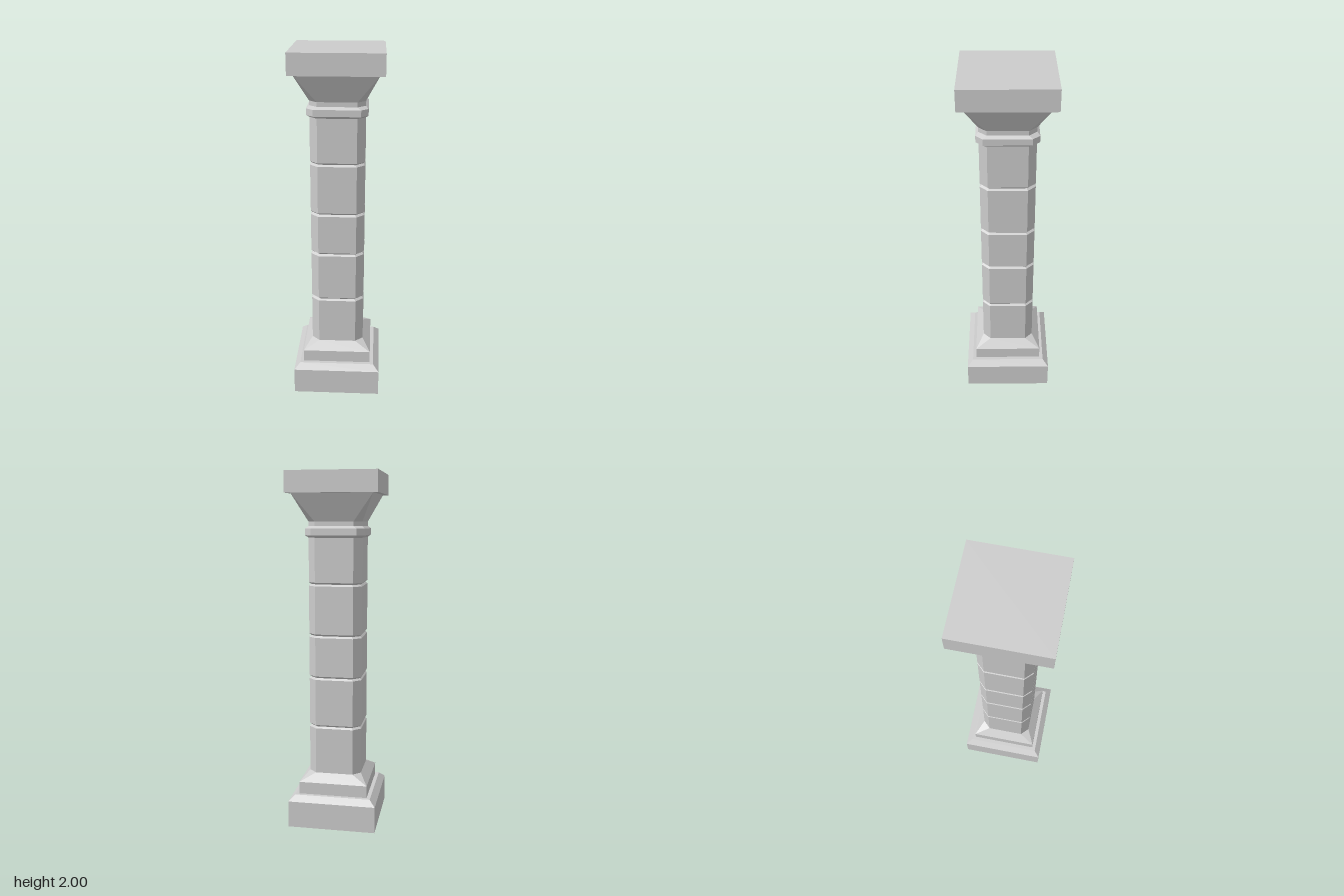
import * as THREE from 'three';

const stone = new THREE.MeshStandardMaterial({ color: 0xcccccc });
stone.name = 'palestone';

// Eight-point ring: a square of half-width h with its corners cut back by c
function ring([y, h, c]) {
  const points = [];
  let corner = [[h, h - c], [h - c, h]];
  for (let q = 0; q < 4; q++) {
    for (const [x, z] of corner) points.push(new THREE.Vector3(x, y, z));
    corner = corner.map(([x, z]) => [-z, x]);
  }
  return points;
}

// Skins a stack of [y, halfWidth, cornerCut] sections with flat faces
function loft(name, sections) {
  const pos = [];
  const tri = (a, b, c) => {
    const area = b.clone().sub(a).cross(c.clone().sub(a)).length();
    if (area > 1e-9) for (const p of [a, b, c]) pos.push(p.x, p.y, p.z);
  };
  const rings = sections.map(ring);
  for (let r = 0; r + 1 < rings.length; r++) {
    const a = rings[r], b = rings[r + 1];
    for (let i = 0; i < 8; i++) {
      const j = (i + 1) % 8;
      tri(a[i], b[i], b[j]);
      tri(a[i], b[j], a[j]);
    }
  }
  const geo = new THREE.BufferGeometry();
  geo.setAttribute('position', new THREE.Float32BufferAttribute(pos, 3));
  geo.computeVertexNormals();
  const mesh = new THREE.Mesh(geo, stone);
  mesh.name = name;
  return mesh;
}

export function createModel() {
  const column = new THREE.Group();
  column.name = 'column';
  const H = 0.15, C = 0.043;           // shaft half-width and corner cut
  const GH = 0.14, GC = 0.041;         // same at the bottom of a groove

  // Stepped base
  column.add(loft('plinth', [
    [0, 0, 0], [0, 0.25, 0], [0.153, 0.25, 0], [0.185, 0.217, 0], [0.185, 0.196, 0],
  ]));
  column.add(loft('baseStep', [
    [0.185, 0.196, 0], [0.255, 0.196, 0], [0.302, H, C],
  ]));

  // Shaft blocks, separated by narrow V grooves
  const joints = [0.578, 0.863, 1.104, 1.393];
  const bounds = [0.302, ...joints, 1.65];
  for (let i = 0; i < 5; i++) {
    const lo = bounds[i], hi = bounds[i + 1], sections = [];
    if (i > 0) sections.push([lo, GH, GC], [lo + 0.01, H, C]);
    else sections.push([lo, H, C]);
    if (i < 4) sections.push([hi - 0.01, H, C], [hi, GH, GC]);
    else sections.push([hi, H, C]);
    column.add(loft('shaftBlock' + (i + 1), sections));
  }

  // Collar and neck
  column.add(loft('collar', [
    [1.648, H, C], [1.661, 0.165, 0.038], [1.697, 0.165, 0.038], [1.71, H, C],
  ]));
  column.add(loft('neck', [[1.71, H, C], [1.735, H, C]]));

  // Capital flaring from octagon to square, with its top slab
  column.add(loft('capital', [[1.735, H, C], [1.885, 0.222, 0]]));
  column.add(loft('topSlab', [
    [1.885, 0.222, 0], [1.885, 0.25, 0], [2, 0.25, 0], [2, 0, 0],
  ]));
  return column;
}
